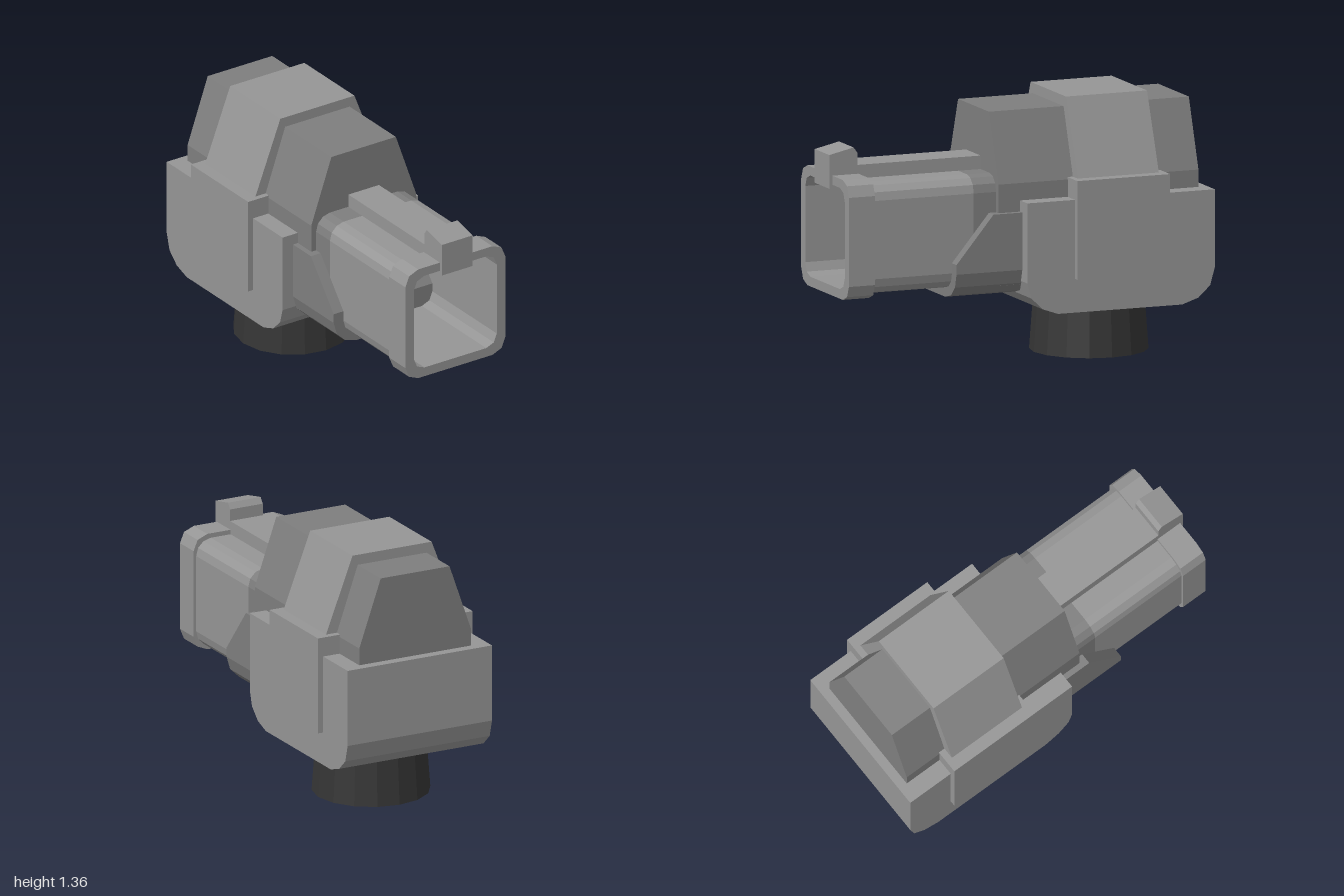
import * as THREE from 'three';

export function createModel() {
  const model = new THREE.Group();
  const light = new THREE.MeshStandardMaterial({ color: 0x959595, flatShading: true });
  const medium = new THREE.MeshStandardMaterial({ color: 0x7e7e7e, flatShading: true });
  const dark = new THREE.MeshStandardMaterial({ color: 0x353535, flatShading: true, side: THREE.DoubleSide });

  const add = (name, geometry, material) => {
    const mesh = new THREE.Mesh(geometry, material);
    mesh.name = name;
    model.add(mesh);
  };
  const vectors = (list) => list.map(([a, b]) => new THREE.Vector2(a, b));

  // Front outline [x, y] extruded from z0 to z1, with an optional hole
  const alongZ = (name, material, points, z0, z1, hole) => {
    const shape = new THREE.Shape(vectors(points));
    if (hole) shape.holes.push(new THREE.Path(vectors(hole)));
    const g = new THREE.ExtrudeGeometry(shape, { depth: z1 - z0, bevelEnabled: false });
    add(name, g.translate(0, 0, z0), material);
  };
  // Side outline [z, y] extruded evenly to both sides
  const alongX = (name, material, points, half) => {
    const g = new THREE.ExtrudeGeometry(new THREE.Shape(vectors(points)), { depth: 2 * half, bevelEnabled: false });
    add(name, g.translate(0, 0, -half).rotateY(-Math.PI / 2), material);
  };
  // Rectangle with faceted round corners
  const roundRect = (w, y0, y1, r, n) => {
    const pts = [];
    const corners = [[w - r, y1 - r], [r - w, y1 - r], [r - w, y0 + r], [w - r, y0 + r]];
    corners.forEach(([cx, cy], i) => {
      for (let k = 0; k <= n; k++) {
        const a = (i + k / n) * Math.PI / 2;
        pts.push([cx + r * Math.cos(a), cy + r * Math.sin(a)]);
      }
    });
    return pts;
  };
  const box = (name, material, x, y0, y1, z0, z1) => {
    const g = new THREE.BoxGeometry(2 * x, y1 - y0, z1 - z0);
    add(name, g.translate(0, (y0 + y1) / 2, (z0 + z1) / 2), material);
  };

  // Open tapered neck below the body
  add('neck', new THREE.CylinderGeometry(0.283, 0.305, 0.3, 16, 1, true).translate(0, 0.15, -0.48), dark);

  // Body with rounded lower edges
  alongX('body', light, [
    [0.04, 0.855], [0.04, 0.44], [0.017, 0.36], [-0.045, 0.3], [-0.13, 0.27],
    [-0.82, 0.27], [-0.91, 0.3], [-0.975, 0.36], [-1, 0.45], [-1, 0.855],
  ], 0.42);
  box('sidePads', light, 0.45, 0.445, 0.957, -0.74, -0.225);

  // Stepped hood
  alongZ('hood', medium, [
    [-0.325, 0.42], [0.325, 0.42], [0.325, 0.945], [0.2, 1.303], [-0.2, 1.303], [-0.325, 0.945],
  ], -0.95, 0.16);
  alongZ('hoodBand', light, [
    [-0.385, 0.9], [0.385, 0.9], [0.385, 0.955], [0.23, 1.357], [-0.23, 1.357], [-0.385, 0.955],
  ], -0.705, -0.255);

  // Sloped collar between body and barrel
  alongZ('collarBase', medium, [
    [-0.355, 0.55], [-0.355, 0.5], [-0.335, 0.43], [-0.285, 0.382], [-0.21, 0.362],
    [0.21, 0.362], [0.285, 0.382], [0.335, 0.43], [0.355, 0.5], [0.355, 0.55],
  ], -0.1, 0.405);
  alongX('collarSlope', medium, [[0.405, 0.55], [0.2, 0.797], [-0.1, 0.797], [-0.1, 0.55]], 0.355);

  // Hollow barrel with its inner end wall and rim
  const opening = roundRect(0.257, 0.44, 0.965, 0.065, 2);
  const barrel = roundRect(0.295, 0.412, 0.988, 0.085, 3);
  alongZ('barrel', light, barrel, 0.284, 0.85, opening);
  alongZ('barrelEnd', medium, barrel, 0.1, 0.284);
  alongZ('barrelRim', light, roundRect(0.31, 0.39, 1.012, 0.08, 2), 0.838, 0.983, opening);

  // Top rail and latch
  box('topRail', light, 0.095, 0.97, 1.058, 0.1, 0.85);
  alongX('latch', light, [[1, 0.945], [1, 1.12], [0.865, 1.15], [0.843, 1.12], [0.843, 0.945]], 0.095);

  return model;
}
